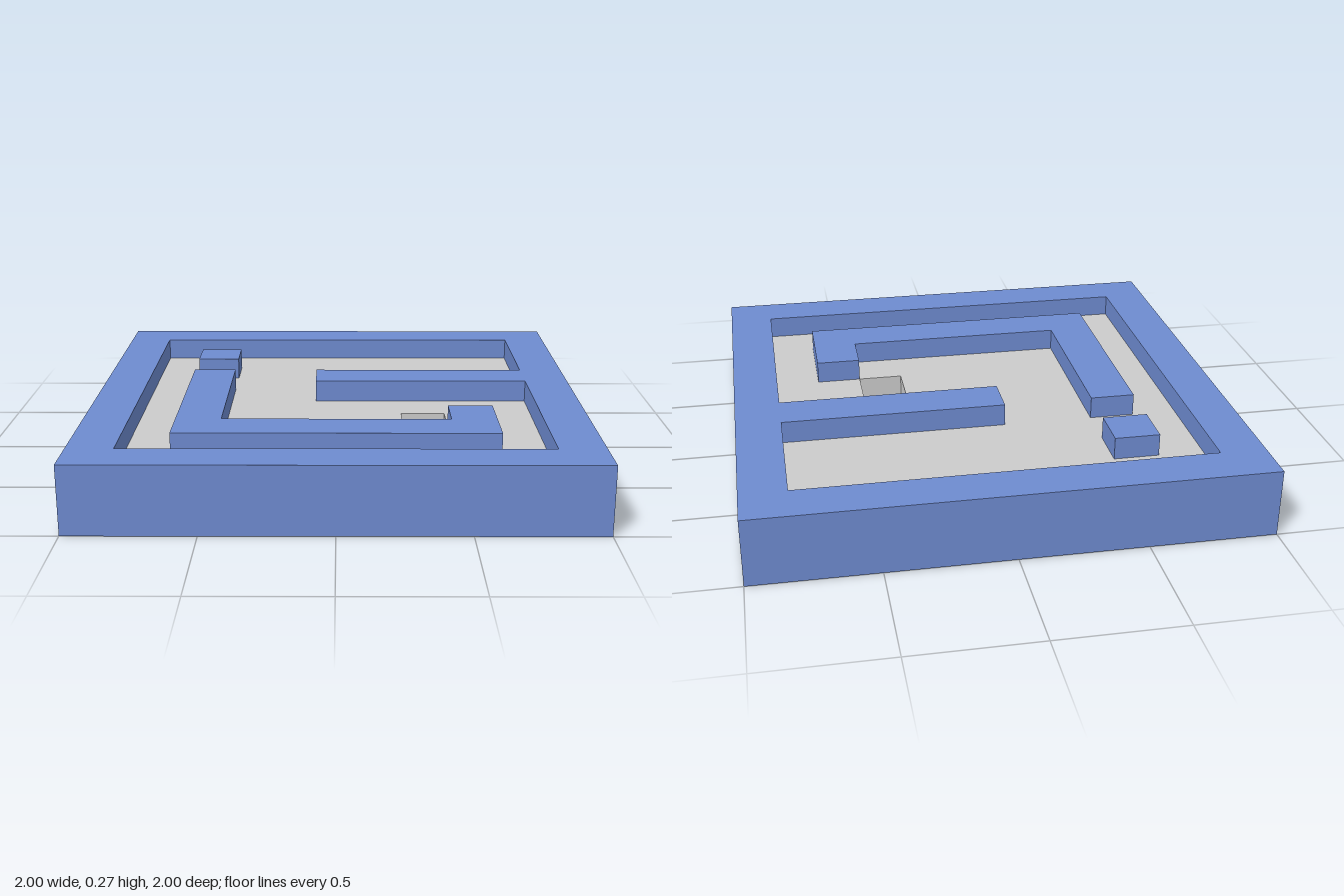
import * as THREE from 'three';

// The plan lies on an 11 x 11 grid of cells, in layers half a cell thick
const CELL = 2 / 11;
const LAYER = CELL / 2;

const blue = new THREE.MeshStandardMaterial({ color: 0x6e8bd0 });
const grey = new THREE.MeshStandardMaterial({ color: 0xcccccc });

// Grid corner (column, row from the back) to plan coordinates
const toPlan = ([c, r]) => new THREE.Vector2(c * CELL - 1, 1 - r * CELL);
const rect = (c0, r0, c1, r1) => [[c0, r0], [c0, r1], [c1, r1], [c1, r0]];

// Upright slab from a grid outline, between two layer heights
function slab(name, material, outline, from, to, hole) {
  const shape = new THREE.Shape(outline.map(toPlan));
  if (hole) shape.holes.push(new THREE.Path(hole.map(toPlan)));
  const geometry = new THREE.ExtrudeGeometry(shape, {
    depth: (to - from) * LAYER,
    bevelEnabled: false,
  });
  geometry.rotateX(-Math.PI / 2).translate(0, from * LAYER, 0);
  const mesh = new THREE.Mesh(geometry, material);
  mesh.name = name;
  return mesh;
}

export function createModel() {
  const model = new THREE.Group();
  model.name = 'mazeTray';

  const outer = rect(0, 0, 11, 11);
  const inner = rect(1, 1, 10, 10);

  model.add(
    slab('basePlate', blue, outer, 0, 1),
    // Rim with the side bar growing out of its +x side
    slab('rim', blue, outer, 1, 2, inner),
    slab('rimTop', blue, outer, 2, 3, [
      [1, 1], [10, 1], [10, 4], [5, 4], [5, 5], [10, 5], [10, 10], [1, 10],
    ]),
    // Floor with a square pit down to the base plate
    slab('floor', grey, inner, 1, 2, rect(7, 6, 8, 7)),
    // Free-standing walls
    slab('hookWall', blue, [
      [2, 4], [3, 4], [3, 8], [8, 8], [8, 7], [9, 7], [9, 9], [2, 9],
    ], 2, 3),
    slab('cornerBlock', blue, rect(2, 2, 3, 3), 2, 3),
  );
  return model;
}
